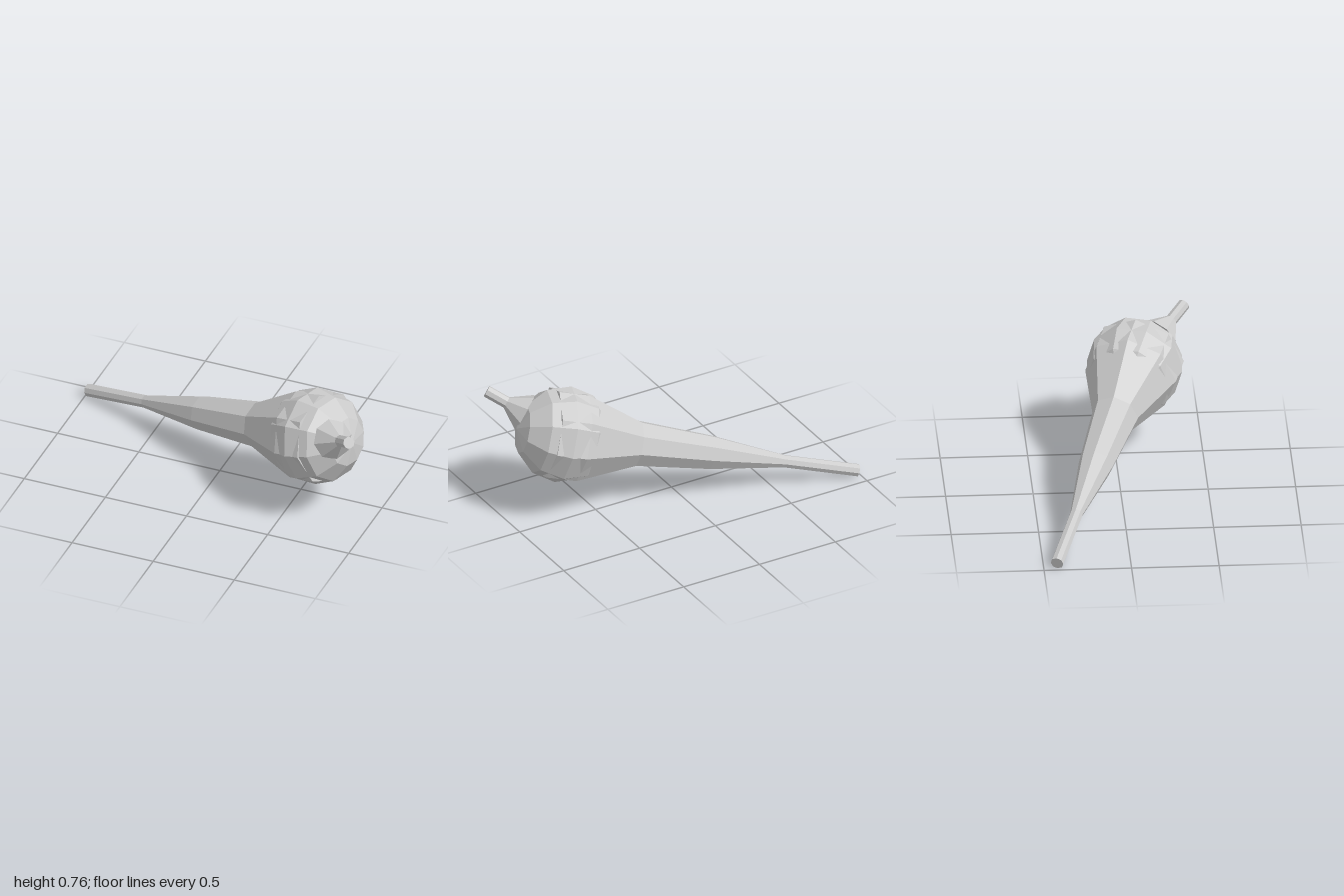
import * as THREE from 'three';

const material = new THREE.MeshStandardMaterial({ color: 0xcccccc, flatShading: true });
const CENTER = new THREE.Vector3(0.645, 0.48, 0.12);

// Place a part at the ball's centre with its local y along dir and local z as near to up as possible
function part(name, geometry, dir) {
  const y = dir.clone().normalize();
  const z = new THREE.Vector3(0, 1, 0).addScaledVector(y, -y.y).normalize();
  const x = new THREE.Vector3().crossVectors(y, z);
  const mesh = new THREE.Mesh(geometry, material);
  mesh.name = name;
  mesh.quaternion.setFromRotationMatrix(new THREE.Matrix4().makeBasis(x, y, z));
  mesh.position.copy(CENTER);
  return mesh;
}

// Faceted turned shape from [radius, distance from the ball's centre] pairs
const turned = (profile, sides) =>
  new THREE.LatheGeometry(profile.map(([r, s]) => new THREE.Vector2(r, s)), sides);

export function createModel() {
  const group = new THREE.Group();
  group.name = 'bulbWithHandle';

  const handleDir = new THREE.Vector3(-1.63, -0.445, -0.545);
  const stemDir = new THREE.Vector3(0.325, 0.225, 0.305);

  // Round head, its poles in line with the handle
  group.add(part('ball', new THREE.SphereGeometry(0.281, 10, 6), handleDir));

  // Long tapering handle whose flared end wraps the ball, corners just breaking its surface
  group.add(part('handle', turned([
    [0, -0.09], [0.268, -0.09], [0.268, 0.09], [0.135, 0.444],
    [0.1, 0.888], [0.037, 1.331], [0.037, 1.775], [0, 1.775],
  ], 8), handleDir));

  // Short stem with a flared foot
  group.add(part('stem', turned([
    [0, 0.24], [0.118, 0.25], [0.035, 0.37], [0.035, 0.5], [0, 0.5],
  ], 8), stemDir));

  return group;
}
